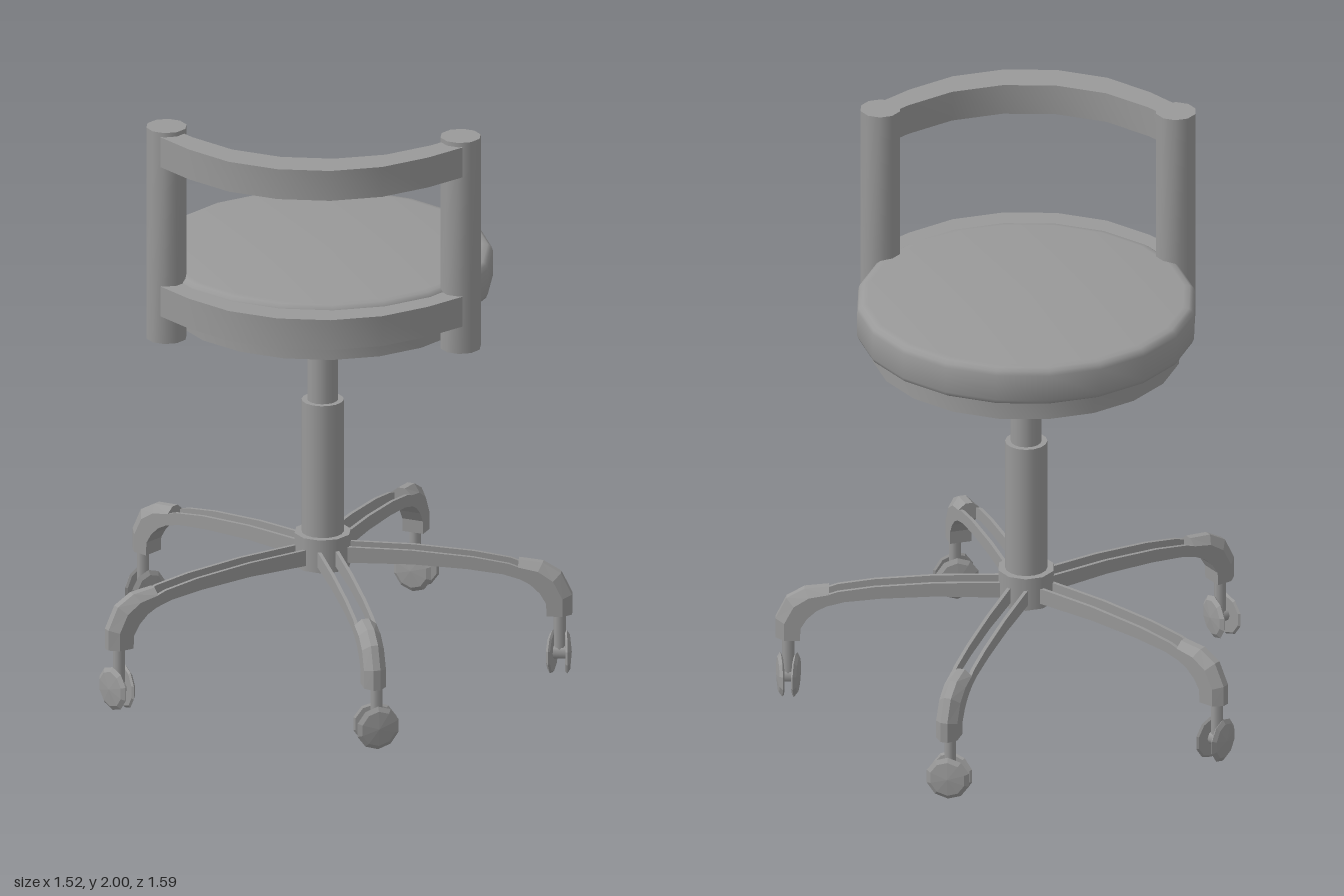
import * as THREE from 'three';
import { toCreasedNormals } from 'three/addons/utils/BufferGeometryUtils.js';

const smooth = new THREE.MeshStandardMaterial({ color: 0x999999 });
const faceted = new THREE.MeshStandardMaterial({ color: 0x999999, flatShading: true });

function add(parent, name, geometry, x = 0, y = 0, z = 0, material = smooth) {
  const mesh = new THREE.Mesh(geometry, material);
  mesh.name = name;
  mesh.position.set(x, y, z);
  parent.add(mesh);
  return mesh;
}

// Turned part from [radius, height] points, bottom to top
function turned(points, sides) {
  const pts = points.map(([r, y]) => new THREE.Vector2(r, y));
  return toCreasedNormals(new THREE.LatheGeometry(pts, sides, Math.PI / sides), 0.65);
}

function extruded(points, depth) {
  const shape = new THREE.Shape(points.map(([x, y]) => new THREE.Vector2(x, y)));
  return toCreasedNormals(new THREE.ExtrudeGeometry(shape, { depth, bevelEnabled: false }), 0.5);
}

// Skin over a row of equal-length rings, with flat end caps
function loft(rings) {
  const n = rings[0].length, last = (rings.length - 1) * n, index = [];
  for (let i = 0; i < rings.length - 1; i++) {
    for (let j = 0; j < n; j++) {
      const a = i * n + j, b = i * n + (j + 1) % n;
      index.push(a, a + n, b, b, a + n, b + n);
    }
  }
  for (let j = 1; j < n - 1; j++) index.push(0, j, j + 1, last, last + j + 1, last + j);
  const g = new THREE.BufferGeometry();
  g.setAttribute('position', new THREE.Float32BufferAttribute(rings.flat(2), 3));
  g.setIndex(index);
  g.computeVertexNormals();
  return g;
}

// Curved back rail: two arcs set apart in depth, thickest in the middle, ending inside the posts
function railGeometry() {
  const arc = (dz, endX, endZ) => [
    [-endX, endZ],
    ...[-45, -27, -9, 9, 27, 45].map((deg) => {
      const a = THREE.MathUtils.degToRad(deg);
      return [0.56 * Math.sin(a), 0.56 * Math.cos(a) + dz];
    }),
    [endX, endZ],
  ];
  const outline = [...arc(0.087, 0.5, 0.378), ...arc(-0.03, 0.46, 0.3).reverse()];
  return extruded(outline, 0.105).rotateX(Math.PI / 2);
}

// Ridged leg end that turns down to the caster: [top r, top y, bottom r, bottom y]
function legEndGeometry() {
  const section = [[1, 0.012], [1, -0.012], [0.65, -0.037], [0, -0.037], [0, 0.037], [0.65, 0.037]];
  const stations = [
    [0.65, 0.404, 0.65, 0.346], [0.73, 0.395, 0.69, 0.325], [0.79, 0.36, 0.722, 0.295],
    [0.826, 0.285, 0.743, 0.26], [0.826, 0.215, 0.745, 0.215],
  ];
  return loft(stations.map(([tr, ty, br, by]) =>
    section.map(([t, z]) => [br + (tr - br) * t, by + (ty - by) * t, z])));
}

function createCaster() {
  const caster = new THREE.Group();
  caster.name = 'caster';
  add(caster, 'casterStem', new THREE.CylinderGeometry(0.02, 0.02, 0.13, 8), 0, 0.155, 0);
  add(caster, 'casterAxle', new THREE.CylinderGeometry(0.025, 0.025, 0.05, 8).rotateZ(Math.PI / 2), 0, 0.077, 0);
  // Paired thin dished wheels, slightly splayed
  for (const side of [-1, 1]) {
    const disc = turned([[0, -0.008], [0.068, -0.008], [0.075, -0.002], [0.06, 0.008], [0, 0.014]], 10);
    disc.rotateZ(-side * Math.PI / 2);
    const wheel = add(caster, 'casterWheel', disc, side * 0.026, 0.077, 0, faceted);
    wheel.rotation.y = side * 0.12;
  }
  caster.position.set(0.784, 0, -0.008);
  return caster;
}

function createLeg() {
  const leg = new THREE.Group();
  leg.name = 'leg';
  // Twin side strips
  const strip = extruded([
    [0.06, 0.38], [0.3, 0.382], [0.48, 0.372], [0.6, 0.358], [0.67, 0.338],
    [0.69, 0.37], [0.62, 0.395], [0.5, 0.414], [0.3, 0.43], [0.06, 0.435],
  ], 0.012);
  for (const z of [-0.036, 0.024]) add(leg, 'legStrip', strip, 0, 0, z);
  add(leg, 'legEnd', legEndGeometry(), 0, 0, 0, faceted);
  leg.add(createCaster());
  return leg;
}

export function createModel() {
  const chair = new THREE.Group();
  chair.name = 'swivelChair';
  const body = new THREE.Group();
  body.name = 'chairBody';
  body.position.set(-0.065, 0, -0.005);
  chair.add(body);

  // Seat
  add(body, 'seatCushion', turned([
    [0, 1.34], [0.542, 1.34], [0.556, 1.348], [0.562, 1.362], [0.562, 1.45],
    [0.557, 1.464], [0.545, 1.473], [0.525, 1.476], [0, 1.476],
  ], 20));
  add(body, 'seatBase', turned([[0, 1.268], [0.512, 1.268], [0.512, 1.345], [0, 1.345]], 20));
  add(body, 'seatMount', turned([[0, 1.165], [0.05, 1.165], [0.1, 1.2], [0.172, 1.27], [0, 1.27]], 16));

  // Back posts and rails
  for (const side of [-1, 1]) {
    const post = toCreasedNormals(new THREE.CylinderGeometry(0.068, 0.068, 0.742, 10), 0.7);
    add(body, 'backPost', post, side * 0.487, 1.629, 0.315);
  }
  add(body, 'lowerRail', railGeometry(), 0, 1.46, 0.005);
  add(body, 'upperRail', railGeometry(), 0, 1.985, 0.005);

  // Column and hub
  add(body, 'upperColumn', new THREE.CylinderGeometry(0.051, 0.051, 0.3, 16), 0, 1.05, 0);
  add(body, 'lowerColumn', new THREE.CylinderGeometry(0.07, 0.07, 0.5, 16), 0, 0.69, 0);
  add(body, 'hub', new THREE.CylinderGeometry(0.095, 0.095, 0.115, 10), 0, 0.419, 0);

  // Five-legged base
  for (let i = 0; i < 5; i++) {
    const leg = createLeg();
    leg.rotation.y = (i * Math.PI * 2) / 5;
    body.add(leg);
  }
  return chair;
}
